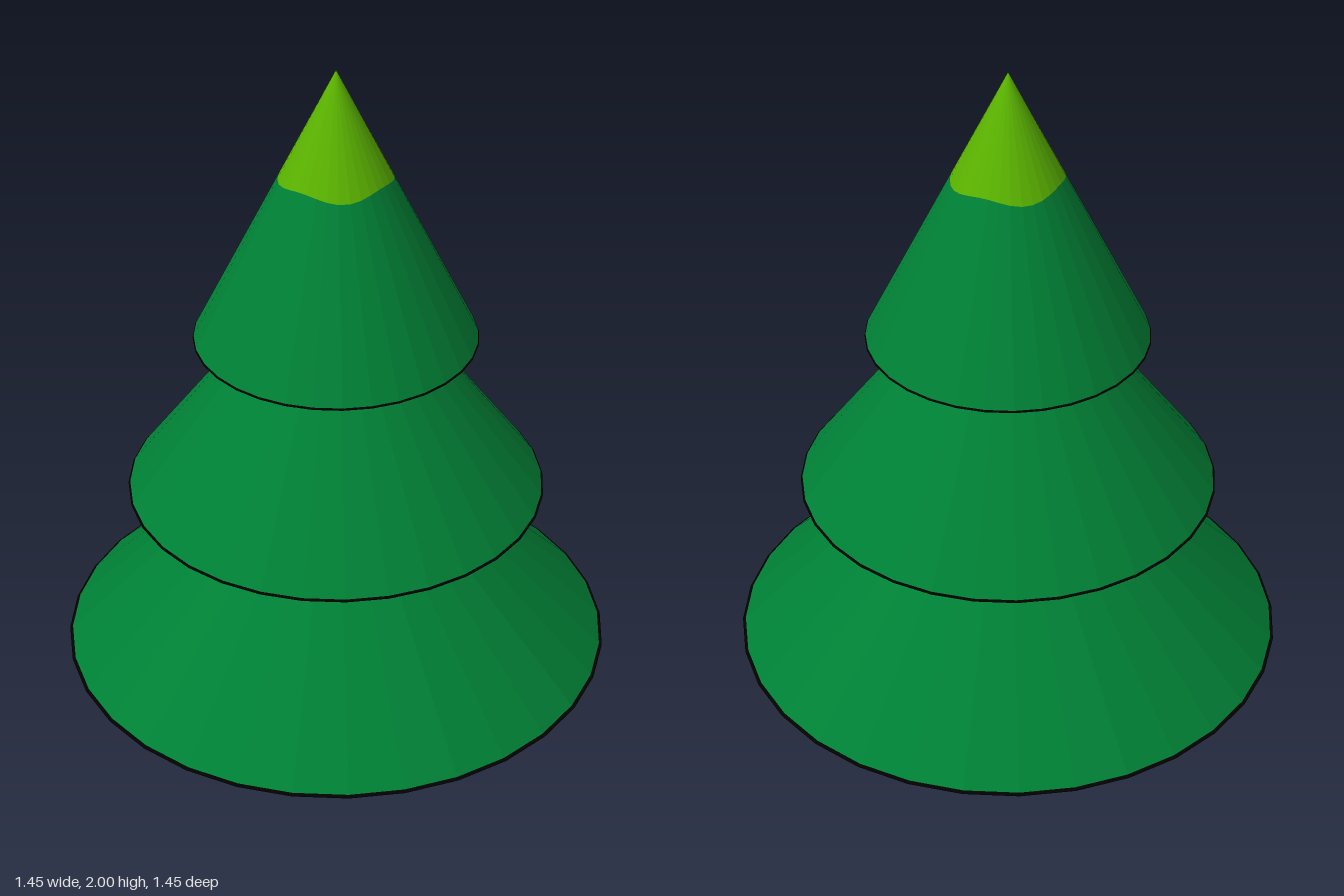
import * as THREE from 'three';

const SIDES = 32;
const TIER_HEIGHT = 0.725;
const RIM = 0.005;

const paint = (name, color) => {
  const m = new THREE.MeshStandardMaterial({ color });
  m.name = name;
  return m;
};

// Gives every face its own normal
function faceted(geometry) {
  const flat = geometry.toNonIndexed();
  flat.computeVertexNormals();
  return flat;
}

function add(group, name, geometry, material) {
  const mesh = new THREE.Mesh(geometry, material);
  mesh.name = name;
  group.add(mesh);
  return mesh;
}

// Band of a cone (apex at y = 0) between two distances below the apex,
// each a function of the angle around the tree
function coneBand(radius, upper, lower) {
  const g = new THREE.CylinderGeometry(1, 1, 2, SIDES, 1, true);
  const p = g.attributes.position;
  for (let i = 0; i < p.count; i++) {
    const a = Math.atan2(p.getX(i), p.getZ(i));
    const drop = p.getY(i) > 0 ? upper(a) : lower(a);
    const r = radius * drop / TIER_HEIGHT;
    p.setXYZ(i, r * Math.sin(a), -drop, r * Math.cos(a));
  }
  return faceted(g);
}

export function createModel() {
  const tree = new THREE.Group();
  tree.name = 'tree';
  const green = paint('needle green', 0x008035);
  const shade = paint('underside green', 0x003f21);
  const lime = paint('tip lime', 0x5ab200);
  const brown = paint('bark brown', 0x644e00);
  const black = paint('edge black', 0x020202);

  // Trunk, with a dark cut underneath
  const trunk = add(tree, 'trunk',
    faceted(new THREE.CylinderGeometry(0.235, 0.235, 0.372, 8, 1, true)), brown);
  trunk.position.y = 0.186;
  add(tree, 'trunkBottom',
    new THREE.CircleGeometry(0.235, 8).rotateX(Math.PI / 2), black);

  // Wavy lower edge of the lime tips
  const wave = a => 0.279 + 0.007 * Math.cos(4 * (a - 0.3));
  const lowerWave = a => 0.235 + 0.05 * Math.max(0, Math.cos(a - 0.28)) ** 40;

  // Three tiers: base height, radius, rim overhang and tip edge
  const tiers = [
    ['lowerTier', 0.367, 0.722, 0.003, lowerWave],
    ['middleTier', 0.838, 0.543, 0.001, () => 0.235],
    ['upperTier', 1.275, 0.362, 0, wave],
  ];
  for (const [name, base, radius, overhang, edge] of tiers) {
    const tier = new THREE.Group();
    tier.name = name;
    tier.position.y = base + TIER_HEIGHT;
    add(tier, 'tip', coneBand(radius, () => 0, edge), lime);
    add(tier, 'branches', coneBand(radius, edge, () => TIER_HEIGHT - RIM), green);
    // Thin dark rim and shaded underside
    const rim = add(tier, 'rim',
      faceted(new THREE.CylinderGeometry(
        radius * (1 - RIM / TIER_HEIGHT), radius + overhang, RIM, SIDES, 1, true)), black);
    rim.position.y = RIM / 2 - TIER_HEIGHT;
    const under = add(tier, 'underside',
      new THREE.CircleGeometry(radius + overhang, SIDES).rotateX(Math.PI / 2), shade);
    under.position.y = -TIER_HEIGHT;
    tree.add(tier);
  }
  return tree;
}
